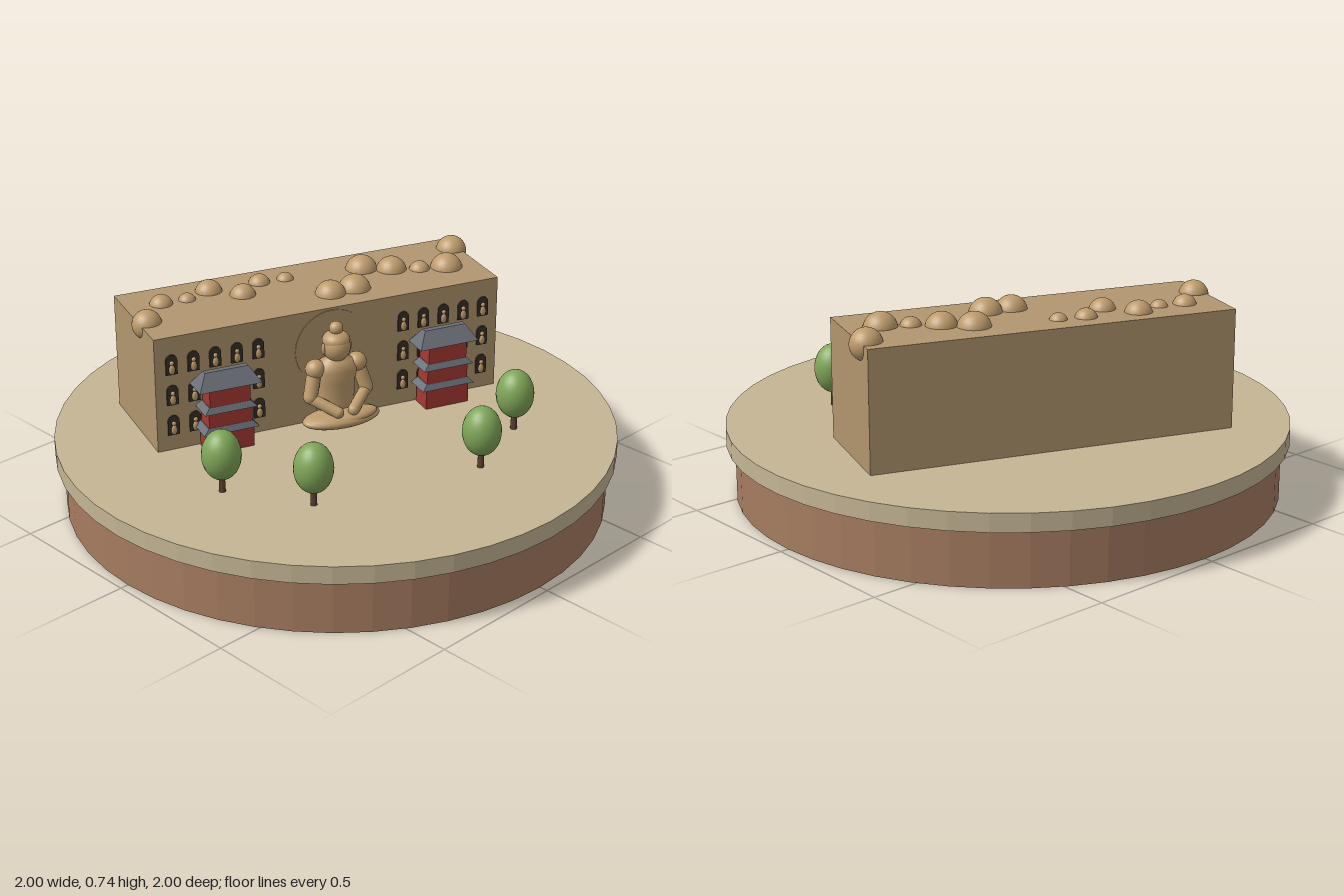
import * as THREE from 'three';

const mat = (name, color) => {
  const m = new THREE.MeshStandardMaterial({ color });
  m.name = name;
  return m;
};

export function createModel() {
  const earth = mat('earth brown', 0xa67c60);
  const sand = mat('sand', 0xc4b594);
  const rock = mat('cliff rock', 0xb2966f);
  const stone = mat('carved stone', 0xbd9b6c);
  const dark = mat('niche shadow', 0x3a3028);
  const red = mat('temple red', 0xa83a32);
  const slate = mat('roof slate', 0x6b7078);
  const leaf = mat('foliage green', 0x7fa658);
  const bark = mat('bark', 0x5a4030);

  const model = new THREE.Group();
  const add = (parent, name, geo, material, x = 0, y = 0, z = 0) => {
    const m = new THREE.Mesh(geo, material);
    m.name = name;
    m.position.set(x, y, z);
    parent.add(m);
    return m;
  };
  const group = (parent, name, x = 0, y = 0, z = 0) => {
    const g = new THREE.Group();
    g.name = name;
    g.position.set(x, y, z);
    parent.add(g);
    return g;
  };
  const ball = (parent, name, material, p, rx, ry = rx, rz = rx) => {
    const m = add(parent, name, new THREE.SphereGeometry(1, 24, 16), material, ...p);
    m.scale.set(rx, ry, rz);
    return m;
  };
  // Faceted disc
  const disc = (r, h) => {
    const g = new THREE.CylinderGeometry(r, r, h, 48).toNonIndexed();
    g.computeVertexNormals();
    return g;
  };
  // Box whose top is narrowed, standing on its base
  const hip = (w, d, h, topW, topD) => {
    const g = new THREE.BoxGeometry(w, h, d);
    g.translate(0, h / 2, 0);
    const p = g.attributes.position;
    for (let i = 0; i < p.count; i++) {
      if (p.getY(i) > h / 2) p.setXYZ(i, p.getX(i) * topW / w, h, p.getZ(i) * topD / d);
    }
    g.computeVertexNormals();
    return g;
  };
  // Rounded limb between two points
  const limb = (parent, name, a, b, r) => {
    const A = new THREE.Vector3(...a), B = new THREE.Vector3(...b);
    const dir = B.clone().sub(A);
    const m = add(parent, name, new THREE.CapsuleGeometry(r, dir.length(), 6, 14), stone);
    m.position.copy(A).add(B).multiplyScalar(0.5);
    m.quaternion.setFromUnitVectors(new THREE.Vector3(0, 1, 0), dir.normalize());
  };

  // Round base
  add(model, 'plinth', disc(0.97, 0.2), earth, 0, 0.1, 0);
  add(model, 'ground', disc(1, 0.065), sand, 0, 0.2325, 0);
  const G = 0.265;

  // Cliff and everything carved into it, turned as one
  const site = group(model, 'cliffSite');
  site.rotation.y = -THREE.MathUtils.degToRad(20);
  const wallZ = -0.038;
  add(site, 'cliff', new THREE.BoxGeometry(1.32, 0.43, 0.413), rock, 0, 0.478, wallZ - 0.2065);

  // Boulders along the top: x, z, radius
  [[-0.525, -0.395, 0.053], [-0.39, -0.48, 0.043], [-0.3, -0.445, 0.033], [-0.195, -0.45, 0.05],
    [-0.13, -0.34, 0.048], [-0.015, -0.38, 0.041], [0.075, -0.34, 0.033], [0.1, -0.13, 0.057],
    [0.195, -0.105, 0.06], [0.34, -0.215, 0.06], [0.415, -0.135, 0.057], [0.49, -0.065, 0.039],
    [0.575, -0.01, 0.06], [0.72, -0.12, 0.057],
  ].forEach(([x, z, r]) => ball(model, 'boulder', stone, [x, 0.683, z], r));

  // Arched niches, each with a small seated figure
  const arch = new THREE.Shape();
  arch.moveTo(-0.021, -0.036);
  arch.lineTo(0.021, -0.036);
  arch.lineTo(0.021, 0.017);
  arch.absarc(0, 0.017, 0.021, 0, Math.PI);
  const archGeo = new THREE.ExtrudeGeometry(arch, { depth: 0.006, bevelEnabled: false, curveSegments: 8 });
  for (const side of [-1, 1]) {
    for (let c = 0; c < 5; c++) {
      for (let r = 0; r < 3; r++) {
        const n = group(site, 'niche', side * (0.28 + c * 0.08), 0.36 + r * 0.115, wallZ);
        add(n, 'nicheOpening', archGeo, dark);
        ball(n, 'nicheFigureBody', stone, [0, -0.017, 0.006], 0.011, 0.018, 0.007);
        ball(n, 'nicheFigureHead', stone, [0, 0.008, 0.006], 0.008, 0.008, 0.007);
      }
    }
  }

  // Halo disc behind the statue
  const halo = add(site, 'halo', new THREE.CylinderGeometry(0.14, 0.14, 0.006, 40), rock, 0, 0.545, wallZ);
  halo.rotation.x = Math.PI / 2;

  // Seated statue
  const statue = group(site, 'seatedStatue');
  ball(statue, 'crossedLegs', stone, [0, 0.305, 0.045], 0.148, 0.032, 0.07);
  const shin = ball(statue, 'frontShin', stone, [0.015, 0.312, 0.065], 0.115, 0.026, 0.045);
  shin.rotation.z = 0.1;
  const torso = [[0, 0.3], [0.075, 0.3], [0.068, 0.36], [0.07, 0.43], [0.08, 0.48], [0.06, 0.512],
    [0.028, 0.525], [0.026, 0.55]].map(([x, y]) => new THREE.Vector2(x, y));
  add(statue, 'torso', new THREE.LatheGeometry(torso, 28), stone).scale.z = 0.7;
  ball(statue, 'head', stone, [0, 0.563, 0.005], 0.05, 0.054, 0.05);
  ball(statue, 'hairCap', stone, [0, 0.587, 0], 0.05, 0.034, 0.05);
  ball(statue, 'topknot', stone, [0, 0.631, 0], 0.025);
  for (const s of [-1, 1]) {
    ball(statue, 'shoulder', stone, [s * 0.08, 0.487, 0], 0.036);
    limb(statue, 'upperArm', [s * 0.084, 0.48, 0], [s * 0.108, 0.392, 0.02], 0.026);
    limb(statue, 'forearm', [s * 0.108, 0.388, 0.02], [s * 0.03, 0.345, 0.085], 0.021);
    ball(statue, 'ear', stone, [s * 0.05, 0.56, 0.003], 0.008, 0.022, 0.01);
  }

  // Tiered temple fronts against the cliff
  for (const s of [-1, 1]) {
    const t = group(site, 'temple', s * 0.42, G, 0.01);
    add(t, 'lowerStorey', new THREE.BoxGeometry(0.17, 0.09, 0.08), red, 0, 0.04, 0);
    add(t, 'middleStorey', new THREE.BoxGeometry(0.16, 0.08, 0.076), red, 0, 0.125, 0);
    add(t, 'upperStorey', new THREE.BoxGeometry(0.15, 0.09, 0.072), red, 0, 0.205, 0);
    add(t, 'lowerEave', hip(0.205, 0.098, 0.022, 0.165, 0.078), slate, 0, 0.076, 0);
    add(t, 'middleEave', hip(0.195, 0.096, 0.022, 0.155, 0.074), slate, 0, 0.154, 0);
    add(t, 'mainRoof', hip(0.23, 0.1, 0.056, 0.16, 0.022), slate, 0, 0.242, 0);
  }

  // Trees
  for (const [x, z] of [[-0.63, 0.1], [-0.475, 0.38], [0.115, 0.59], [0.412, 0.48]]) {
    const t = group(model, 'tree', x, G, z);
    add(t, 'trunk', new THREE.CylinderGeometry(0.009, 0.012, 0.1, 10), bark, 0, 0.045, 0);
    ball(t, 'foliage', leaf, [0, 0.138, 0], 0.068, 0.09, 0.068);
  }
  return model;
}
